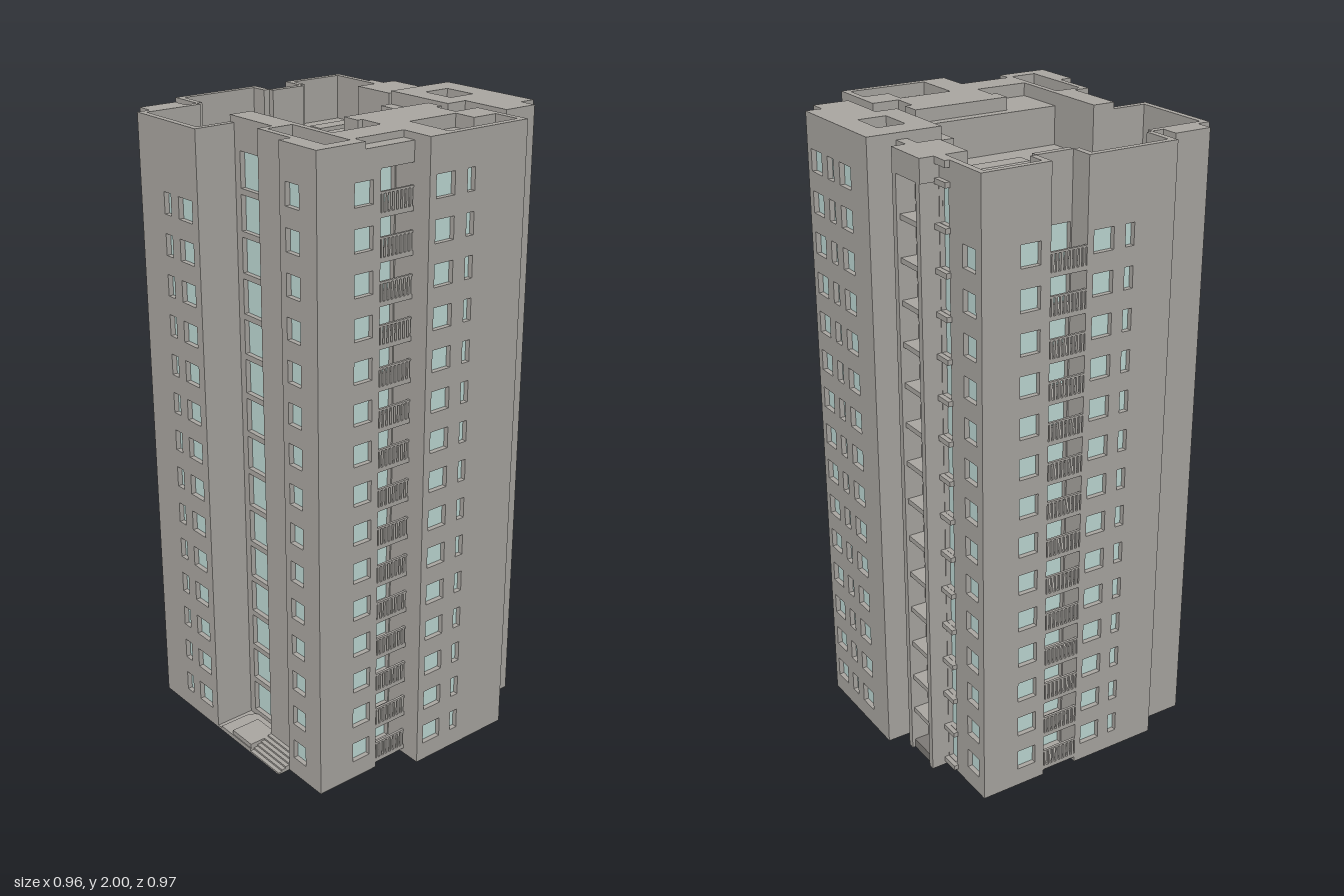
import * as THREE from 'three';
import { mergeGeometries } from 'three/addons/utils/BufferGeometryUtils.js';

const STOREY = 0.1262, ROOF = 1.84, WALL = 0.02, HIGH = 1.92, SUNK = 1.96, LOW = 1.98, TOP = 2.0;

export function createModel() {
  const root = new THREE.Group();
  const material = (name, color) => {
    const m = new THREE.MeshStandardMaterial({ color });
    m.name = name;
    return m;
  };
  const concrete = material('concrete', 0xaaa7a2);
  const glass = material('glass', 0xbfdad5);
  const shade = material('dark concrete', 0x7d7a76);

  // one mesh from one or more geometries
  const add = (name, geos, mat = concrete) => {
    const flat = [geos].flat().map((g) => (g.index ? g.toNonIndexed() : g));
    const mesh = new THREE.Mesh(mergeGeometries(flat), mat);
    mesh.name = name;
    root.add(mesh);
  };
  // box from its limits
  const box = (x0, x1, y0, y1, z0, z1) =>
    new THREE.BoxGeometry(x1 - x0, y1 - y0, z1 - z0).translate((x0 + x1) / 2, (y0 + y1) / 2, (z0 + z1) / 2);
  // horizontal slab from a plan outline, with an optional hole
  const slab = (pts, y0, y1, hole) => {
    const flip = (l) => l.map(([x, z]) => new THREE.Vector2(x, -z));
    const s = new THREE.Shape(flip(pts));
    if (hole) s.holes.push(new THREE.Path(flip(hole).reverse()));
    return new THREE.ExtrudeGeometry(s, { depth: y1 - y0, bevelEnabled: false }).rotateX(-Math.PI / 2).translate(0, y0, 0);
  };
  const rect = (x0, x1, z0, z1) => [[x0, z0], [x1, z0], [x1, z1], [x0, z1]];

  // upright wall between two plan points, with a grid of recessed windows
  const panes = [];
  const wall = (p, q, y0, y1, win) => {
    const dx = q[0] - p[0], dz = q[1] - p[1], len = Math.hypot(dx, dz);
    const place = (g) => g.rotateY(Math.atan2(dz, -dx)).translate(q[0], 0, q[1]);
    const s = new THREE.Shape();
    s.moveTo(0, y0).lineTo(len, y0).lineTo(len, y1).lineTo(0, y1).closePath();
    if (win) {
      const end = Math.abs(dx) > Math.abs(dz) ? q[0] : q[1];
      for (const [a, b] of win.cols) {
        const u0 = Math.min(Math.abs(a - end), Math.abs(b - end)), w = Math.abs(b - a);
        for (let i = 0; i < win.rows; i++) {
          const c = win.y + i * STOREY, v0 = c - win.h / 2, v1 = c + win.h / 2;
          const hole = new THREE.Path();
          hole.moveTo(u0, v0).lineTo(u0, v1).lineTo(u0 + w, v1).lineTo(u0 + w, v0).closePath();
          s.holes.push(hole);
          panes.push(place(new THREE.PlaneGeometry(w, win.h).translate(u0 + w / 2, c, -0.016)));
        }
      }
    }
    return place(new THREE.ExtrudeGeometry(s, { depth: WALL, bevelEnabled: false }).translate(0, 0, -WALL));
  };
  const win = (rows, ...cols) => ({ rows, cols, y: 0.094, h: 0.067 });
  const highWin = (rows, ...cols) => ({ rows, cols, y: 0.105, h: 0.067 });
  const bays = (rows, ...cols) => ({ rows, cols, y: 0.083, h: 0.108 });

  // outer walls: x, z of the start, wall height and windows up to the next point
  const plan = [
    [-0.27, -0.485, LOW, win(14, [-0.13, -0.10], [-0.06, 0.008])],
    [0.03, -0.485, LOW],
    [0.03, -0.41, LOW, bays(14, [0.034, 0.146])],
    [0.15, -0.41, LOW],
    [0.15, -0.485, LOW, win(14, [0.182, 0.247])],
    [0.37, -0.485, LOW, win(14, [-0.455, -0.39])],
    [0.37, -0.33, LOW, bays(15, [-0.323, -0.274], [-0.25, -0.145], [-0.123, -0.073])],
    [0.37, -0.07, HIGH],
    [0.477, -0.07, HIGH, win(15, [0.032, 0.10], [0.138, 0.175], [0.212, 0.278])],
    [0.477, 0.302, HIGH],
    [0.425, 0.302, HIGH],
    [0.425, 0.357, HIGH],
    [0.31, 0.357, HIGH],
    [0.31, 0.302, HIGH],
    [0.267, 0.302, HIGH, highWin(15, [0.36, 0.408])],
    [0.267, 0.484, HIGH, win(15, [0.042, 0.07], [-0.074, -0.005])],
    [-0.098, 0.484, HIGH],
    [-0.098, 0.345, HIGH, bays(15, [-0.212, -0.102])],
    [-0.216, 0.345, HIGH],
    [-0.216, 0.42, HIGH, win(15, [-0.307, -0.242])],
    [-0.435, 0.42, HIGH, win(15, [0.285, 0.345])],
    [-0.435, 0.26, HIGH],
    [-0.395, 0.26, HIGH],
    [-0.395, 0.11, HIGH, bays(15, [-0.39, -0.35])],
    [-0.345, 0.11, HIGH, bays(15, [-0.045, 0.085])],
    [-0.345, -0.07, LOW],
    [-0.478, -0.07, LOW, win(14, [-0.17, -0.10], [-0.245, -0.21])],
    [-0.478, -0.37, LOW],
    [-0.435, -0.37, LOW],
    [-0.435, -0.425, LOW],
    [-0.31, -0.425, LOW],
    [-0.31, -0.37, LOW],
    [-0.27, -0.37, LOW, win(14, [-0.455, -0.41])],
  ];
  add('outerWalls', plan.map((p, i) => wall(p, plan[(i + 1) % plan.length], 0, p[2], p[3])));
  add('windowPanes', panes, glass);
  add('groundFloor', slab(plan, 0, 0.01));

  // sunken rear roof and the walls between it and the taller front part
  add('lowerRoof', slab([[-0.46, -0.355], [-0.255, -0.355], [-0.255, -0.47], [0.015, -0.47], [0.015, -0.395],
    [0.165, -0.395], [0.165, -0.47], [0.353, -0.47], [0.353, -0.06], [0.21, -0.06], [0.21, 0.12],
    [-0.28, 0.12], [-0.28, -0.08], [-0.46, -0.08]], ROOF - 0.01, ROOF));
  const well = [[-0.345, -0.09], [-0.27, -0.09], [-0.27, 0.11], [0.2, 0.11], [0.2, -0.07], [0.37, -0.07]];
  add('roofWellWalls', well.slice(1).map((q, i) => wall(well[i], q, ROOF - 0.01, HIGH)));

  // taller front roof with shallow sunken areas
  add('upperRoof', slab([...well.slice(0, 5), [0.477, -0.07], [0.477, 0.302], [0.425, 0.302], [0.425, 0.357],
    [0.31, 0.357], [0.31, 0.302], [0.267, 0.302], [0.267, 0.484], [-0.098, 0.484], [-0.098, 0.42], [-0.435, 0.42],
    [-0.435, 0.26], [-0.395, 0.26], [-0.395, 0.11], [-0.345, 0.11]], HIGH, SUNK));
  add('upperRoofEdge', [
    slab([[-0.435, 0.26], [-0.395, 0.26], [-0.395, 0.11], [-0.27, 0.11], [-0.27, 0.42], [-0.435, 0.42]],
      SUNK, TOP, rect(-0.375, -0.29, 0.13, 0.38)),
    box(-0.345, -0.27, SUNK, TOP, -0.09, 0.11),
    box(-0.27, -0.098, SUNK, TOP, 0.28, 0.375),
    box(-0.27, -0.098, SUNK, 1.98, 0.375, 0.42),
    slab([[-0.115, 0.14], [0.203, 0.14], [0.203, 0.2], [0.18, 0.2], [0.18, 0.282], [0.267, 0.282], [0.267, 0.484],
      [-0.098, 0.484], [-0.098, 0.2], [-0.115, 0.2]], SUNK, TOP,
    [[-0.012, 0.302], [0.162, 0.302], [0.162, 0.377], [0.246, 0.377], [0.246, 0.462], [-0.012, 0.462]]),
    slab([[0.24, -0.07], [0.477, -0.07], [0.477, 0.302], [0.425, 0.302], [0.425, 0.357], [0.31, 0.357], [0.31, 0.185],
      [0.24, 0.185]], SUNK, TOP, rect(0.31, 0.4, 0.01, 0.122)),
  ]);

  // rooftop structures over the lower roof
  add('cornerPierCap', box(-0.435, -0.31, ROOF, LOW, -0.425, -0.35));
  add('bayHead', [box(0.28, 0.36, ROOF, LOW, -0.275, -0.125), box(0.35, 0.43, 1.91, LOW, -0.275, -0.125)]);
  const hood = new THREE.Shape();
  hood.moveTo(0.15, ROOF).lineTo(0.25, ROOF).lineTo(0.2, 1.9).lineTo(0.15, 1.9).closePath();
  add('stairHood', new THREE.ExtrudeGeometry(hood, { depth: 0.175, bevelEnabled: false })
    .rotateY(Math.PI / 2).translate(0.028, 0, 0));
  add('hoodKerb', [box(0.203, 0.228, ROOF, 1.87, -0.275, -0.125), box(0.028, 0.203, ROOF, 1.87, -0.15, -0.125)]);

  // glazed stair bay: fins, floor slabs and top band
  const bay = [box(0.36, 0.385, 1.96, LOW, -0.33, -0.07)];
  for (const z of [-0.272, -0.143]) bay.push(box(0.36, 0.43, 0, LOW, z, z + 0.02));
  for (let i = 0; i <= 15; i++) {
    const y = 0.012 + i * STOREY;
    bay.push(box(0.36, 0.385, y, y + 0.016, -0.33, -0.07));
    if (i) bay.push(box(0.36, 0.42, y, y + 0.016, -0.26, -0.14));
  }
  add('stairBay', bay);
  add('sideDoorStep', box(0.36, 0.42, 0, 0.03, -0.252, -0.143), shade);
  add('sideDoorFrame', [box(0.352, 0.372, 0.03, 0.135, -0.2, -0.193), box(0.352, 0.372, 0.125, 0.135, -0.25, -0.145)]);

  // recessed balconies with barred railings
  const balcony = (name, x0, x1, zBack, zFace, floors) => {
    const parts = [], s = Math.sign(zFace), z0 = Math.min(zBack, zFace), z1 = Math.max(zBack, zFace);
    const f0 = Math.min(zFace, zFace - s * 0.008), f1 = f0 + 0.008;
    for (let i = 0; i < floors; i++) {
      const y = 0.018 + i * STOREY;
      parts.push(box(x0, x1, y, y + 0.014, z0, z1), box(x0, x1, y + 0.066, y + 0.072, f0, f1));
      for (let k = 0; k < 8; k++) {
        const x = x0 + (x1 - x0) * (k + 0.5) / 8;
        parts.push(box(x - 0.0035, x + 0.0035, y + 0.014, y + 0.068, f0, f1));
      }
    }
    add(name, parts);
  };
  balcony('frontBalconies', -0.216, -0.098, 0.345, 0.42, 15);
  balcony('backBalconies', 0.03, 0.15, -0.41, -0.485, 14);

  // side entrance: base, landing with a rounded corner, platform and steps
  add('entranceBase', box(-0.478, -0.345, 0, 0.008, -0.07, 0.11));
  const landing = new THREE.Shape();
  landing.moveTo(-0.478, -0.11).lineTo(-0.345, -0.11).lineTo(-0.345, 0.03)
    .quadraticCurveTo(-0.36, 0.05, -0.39, 0.05).lineTo(-0.478, 0.05).closePath();
  add('entranceLanding', new THREE.ExtrudeGeometry(landing, { depth: 0.015, bevelEnabled: false }).rotateX(-Math.PI / 2));
  add('entrancePlatform', box(-0.475, -0.375, 0, 0.03, 0.01, 0.11));
  const steps = [];
  for (let i = 0; i < 6; i++) steps.push(box(-0.478 + i * 0.014, -0.39, 0, 0.006 * (i + 1), 0.11, 0.26));
  add('entranceSteps', steps);
  return root;
}
